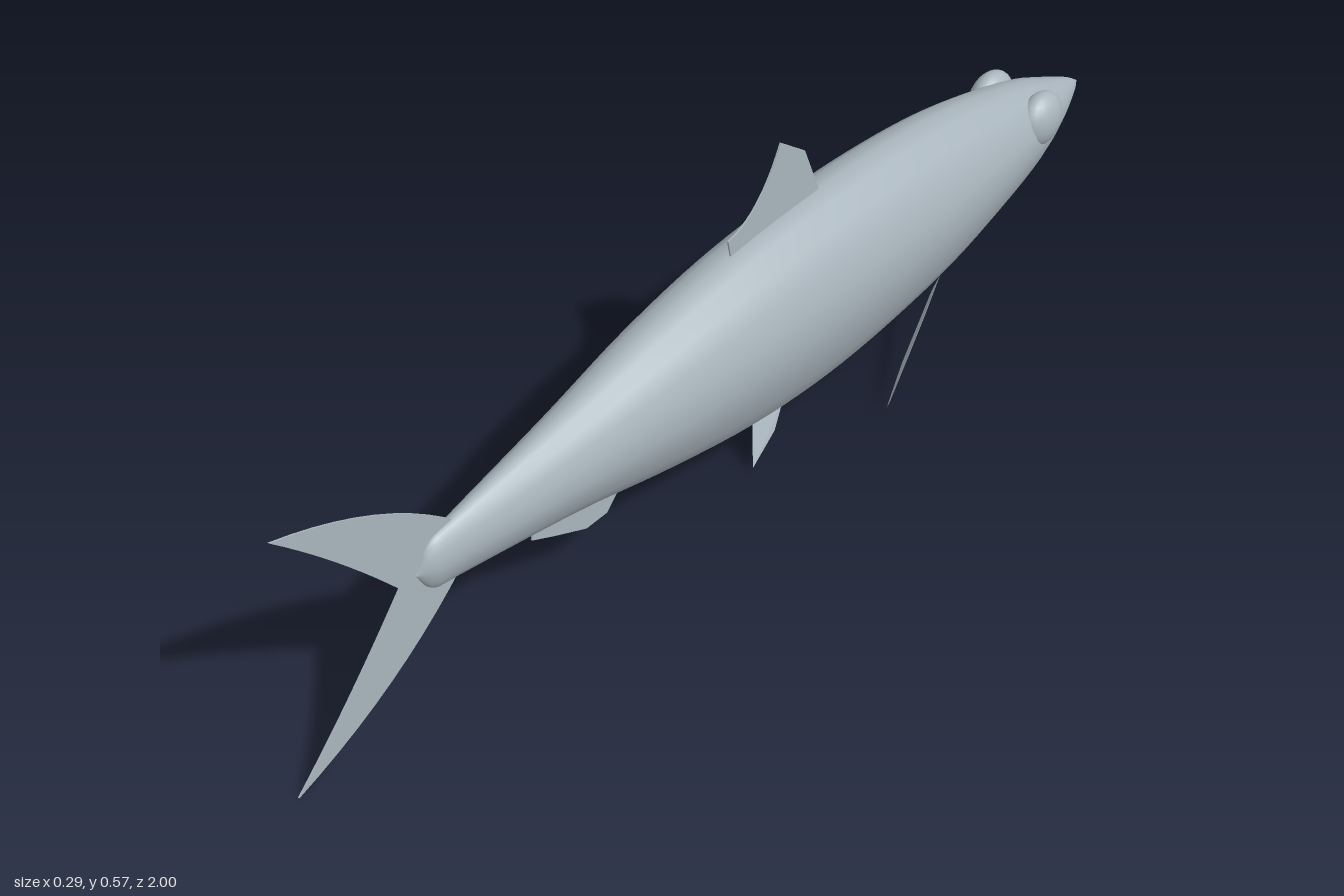
import * as THREE from 'three';

const skin = new THREE.MeshStandardMaterial({ color: 0xa9b5bd, side: THREE.DoubleSide });
skin.name = 'silver grey skin';

const MID = 0.25; // height of the widest line

// Stations along the body: z, top, bottom, half width
const stations = [
  [-1, 0.252, 0.248, 0.002], [-0.97, 0.272, 0.226, 0.018], [-0.9, 0.305, 0.185, 0.046],
  [-0.8, 0.345, 0.14, 0.072], [-0.6, 0.395, 0.085, 0.096], [-0.4, 0.42, 0.057, 0.106],
  [-0.2, 0.427, 0.048, 0.108], [0, 0.418, 0.067, 0.104], [0.2, 0.39, 0.108, 0.088],
  [0.4, 0.35, 0.155, 0.061], [0.64, 0.31, 0.195, 0.029], [0.7, 0.296, 0.207, 0.02],
  [0.73, 0.252, 0.248, 0.002],
];

function bodyGeometry(rings = 60, sides = 20) {
  const heights = new THREE.CatmullRomCurve3(
    stations.map(([z, t, b]) => new THREE.Vector3(z, t, b)), false, 'catmullrom');
  const widths = new THREE.CatmullRomCurve3(
    stations.map(([z, , , w]) => new THREE.Vector3(z, w, 0)), false, 'catmullrom');
  const pos = [], index = [];
  for (let i = 0; i <= rings; i++) {
    const h = heights.getPoint(i / rings), w = widths.getPoint(i / rings).y;
    for (let j = 0; j < sides; j++) {
      const a = (j / sides) * Math.PI * 2, c = Math.cos(a);
      // The belly is a little narrower than an ellipse
      const pinch = c < 0 ? 1 - 0.16 * Math.min(1, -c * 1.4) : 1;
      pos.push(Math.sin(a) * w * pinch, MID + c * (c > 0 ? h.y - MID : MID - h.z), h.x);
    }
  }
  for (let i = 0; i < rings; i++) {
    for (let j = 0; j < sides; j++) {
      const k = (j + 1) % sides, p = i * sides, q = p + sides;
      index.push(p + j, q + j, p + k, q + j, q + k, p + k);
    }
  }
  const g = new THREE.BufferGeometry();
  g.setAttribute('position', new THREE.Float32BufferAttribute(pos, 3));
  g.setIndex(index);
  g.computeVertexNormals();
  return g;
}

// Upright fin on the centre line, drawn as a shape in (z, y)
function uprightFin(shape) {
  const t = 0.003;
  const g = new THREE.ExtrudeGeometry(shape, { depth: t, bevelEnabled: false, curveSegments: 10 });
  g.translate(0, 0, -t / 2);
  g.rotateY(-Math.PI / 2); // shape x becomes z
  return g;
}

// Thin slanted fin from a convex outline, as a fan; side mirrors it in x
function slantedFin(points, side) {
  const pos = [];
  for (let i = 1; i < points.length - 1; i++) {
    const tri = [points[0], points[i], points[i + 1]];
    if (side < 0) tri.reverse();
    tri.forEach(([x, y, z]) => pos.push(x * side, y, z));
  }
  const g = new THREE.BufferGeometry();
  g.setAttribute('position', new THREE.Float32BufferAttribute(pos, 3));
  g.computeVertexNormals();
  return g;
}

export function createModel() {
  const fish = new THREE.Group();
  fish.name = 'fish';
  const add = (name, geometry) => {
    const m = new THREE.Mesh(geometry, skin);
    m.name = name;
    fish.add(m);
    return m;
  };

  add('body', bodyGeometry());

  // Forked tail with curved lobes
  const tail = new THREE.Shape();
  tail.moveTo(0.63, 0.29);
  tail.quadraticCurveTo(0.78, 0.435, 1, 0.5);
  tail.quadraticCurveTo(0.88, 0.39, 0.765, MID);
  tail.quadraticCurveTo(0.88, 0.11, 1, 0);
  tail.quadraticCurveTo(0.78, 0.065, 0.63, 0.21);
  add('tailFin', uprightFin(tail));

  // Dorsal fin with a hollow trailing edge
  const dorsal = new THREE.Shape();
  dorsal.moveTo(-0.23, 0.4);
  dorsal.lineTo(-0.232, 0.43);
  dorsal.lineTo(-0.195, 0.522);
  dorsal.lineTo(-0.132, 0.57);
  dorsal.quadraticCurveTo(-0.08, 0.46, 0, 0.45);
  dorsal.lineTo(-0.012, 0.39);
  add('dorsalFin', uprightFin(dorsal));

  // Anal fin
  const anal = new THREE.Shape();
  [[0.27, 0.16], [0.28, 0.115], [0.305, 0.09], [0.355, 0.09], [0.43, 0.125], [0.48, 0.15],
    [0.475, 0.18]].forEach(([z, y], i) => (i ? anal.lineTo(z, y) : anal.moveTo(z, y)));
  add('analFin', uprightFin(anal));

  // Paired fins and eyes
  const pectoral = [[0.068, 0.132, -0.5], [0.06, 0.1, -0.487], [0.1, 0.043, -0.35],
    [0.143, 0.03, -0.25], [0.145, 0.038, -0.255], [0.12, 0.073, -0.34], [0.095, 0.103, -0.42]];
  const pelvic = [[0.024, 0.075, -0.12], [0.04, 0.037, -0.075], [0.054, 0.011, 0],
    [0.024, 0.075, -0.035]];
  for (const [label, side] of [['left', 1], ['right', -1]]) {
    add(label + 'PectoralFin', slantedFin(pectoral, side));
    add(label + 'PelvicFin', slantedFin(pelvic, side));
    const eye = add(label + 'Eye', new THREE.SphereGeometry(1, 20, 14));
    eye.scale.set(0.032, 0.052, 0.054);
    eye.position.set(side * 0.053, 0.29, -0.805);
  }
  return fish;
}
